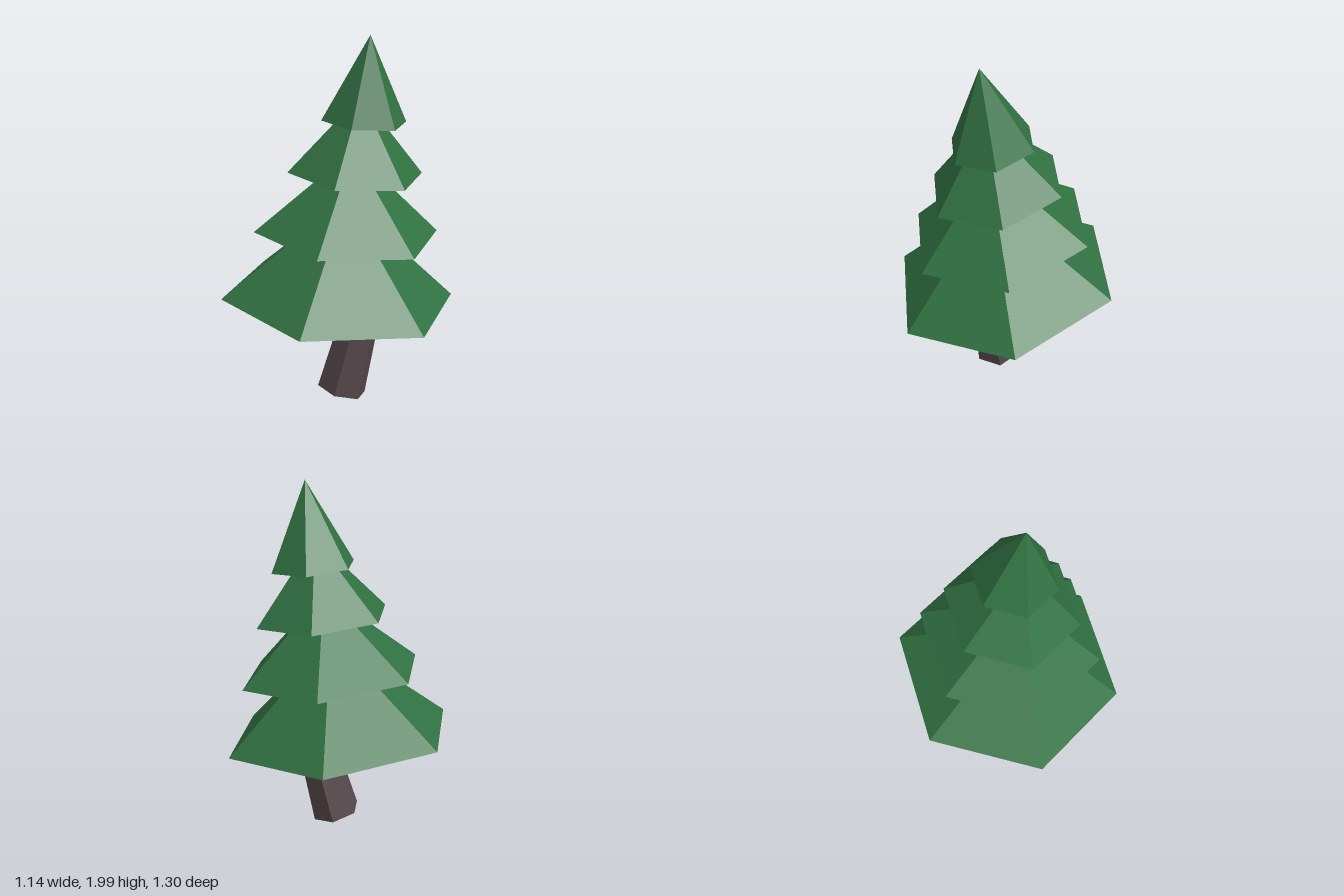
import * as THREE from 'three';

export function createModel() {
  const tree = new THREE.Group();
  tree.name = 'pineTree';

  const foliage = new THREE.MeshStandardMaterial({ color: 0x317242, flatShading: true });
  foliage.name = 'foliage green';
  const bark = new THREE.MeshStandardMaterial({ color: 0x594a4e, flatShading: true });
  bark.name = 'bark brown';

  // Leaning, tapered six-sided trunk; its top is hidden inside the lowest tier
  const trunkLength = 0.65;
  const trunkGeometry = new THREE.CylinderGeometry(0.098, 0.1375, trunkLength, 6);
  trunkGeometry.translate(0, trunkLength / 2, 0);
  const trunk = new THREE.Mesh(trunkGeometry, bark);
  trunk.name = 'trunk';
  trunk.position.set(0.022, 0.032, 0.026);
  trunk.rotation.z = -0.25;
  tree.add(trunk);

  // Six-sided cones, each tipped by the same small angle: [radius, height, x, y]
  const tiers = [
    [0.655, 0.57, -0.003, 0.555],
    [0.515, 0.46, 0.044, 0.93],
    [0.375, 0.43, 0.092, 1.257],
    [0.235, 0.463, 0.139, 1.539],
  ];
  tiers.forEach(([radius, height, x, y], i) => {
    const geometry = new THREE.ConeGeometry(radius, height, 6);
    geometry.translate(0, height / 2, 0);
    const tier = new THREE.Mesh(geometry, foliage);
    tier.name = `foliageTier${i + 1}`;
    tier.position.set(x, y, -0.002);
    tier.rotation.set(0.1, 0, -0.1, 'ZYX');
    tree.add(tier);
  });

  return tree;
}
